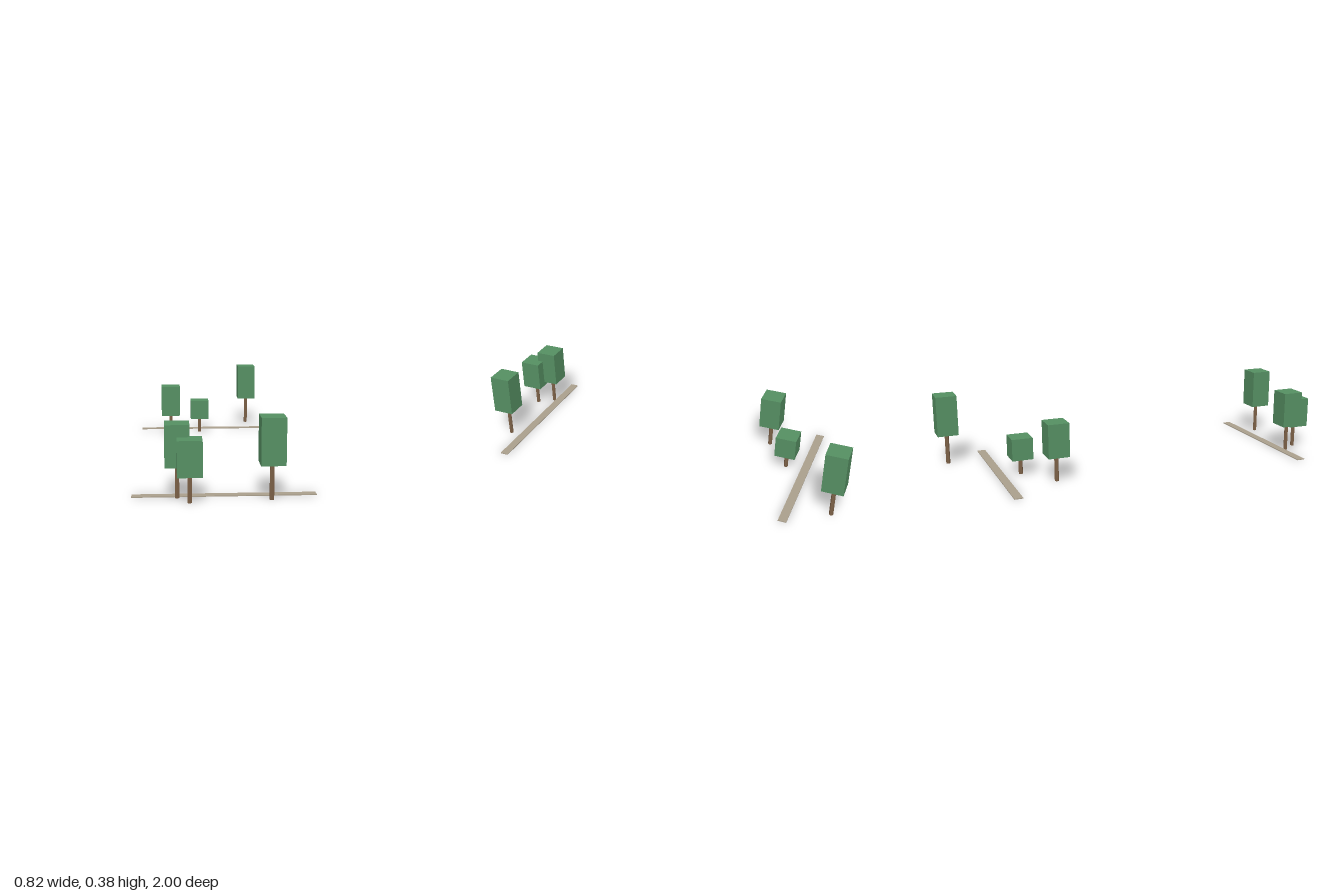
import * as THREE from 'three';

export function createModel() {
  const model = new THREE.Group();
  model.name = 'treeLinedPaths';

  const material = (name, color) => {
    const m = new THREE.MeshStandardMaterial({ color });
    m.name = name;
    return m;
  };
  const leafGreen = material('leafGreen', 0x558f62);
  const barkBrown = material('barkBrown', 0x7d6147);
  const pathBeige = material('pathBeige', 0xaa9f8c);
  barkBrown.flatShading = true;

  const CROWN = 0.109;
  const TRUNK_RADIUS = 0.011;

  // Tree: six-sided trunk under a square block crown
  function addTree(x, z, height) {
    const trunkHeight = height * 0.436;
    const crownHeight = height - trunkHeight;
    const tree = new THREE.Group();
    tree.name = 'tree';
    tree.position.set(x, 0, z);

    const trunk = new THREE.Mesh(
      new THREE.CylinderGeometry(TRUNK_RADIUS, TRUNK_RADIUS, trunkHeight, 6), barkBrown);
    trunk.name = 'trunk';
    trunk.position.y = trunkHeight / 2;

    const crown = new THREE.Mesh(new THREE.BoxGeometry(CROWN, crownHeight, CROWN), leafGreen);
    crown.name = 'crown';
    crown.position.y = trunkHeight + crownHeight / 2;

    tree.add(trunk, crown);
    model.add(tree);
  }

  // x, z, total height
  [
    [-0.157, 0.9455, 0.283],
    [-0.21, 0.865, 0.336],
    [0.203, 0.914, 0.372],
    [-0.231, -0.493, 0.308],
    [-0.053, -0.631, 0.2],
    [0.265, -0.9455, 0.376],
  ].forEach(([x, z, height]) => addTree(x, z, height));

  // Two thin path strips
  for (const z of [0.834, -0.736]) {
    const path = new THREE.Mesh(new THREE.BoxGeometry(0.825, 0.004, 0.043), pathBeige);
    path.name = 'path';
    path.position.set(0, 0.002, z);
    model.add(path);
  }

  return model;
}
